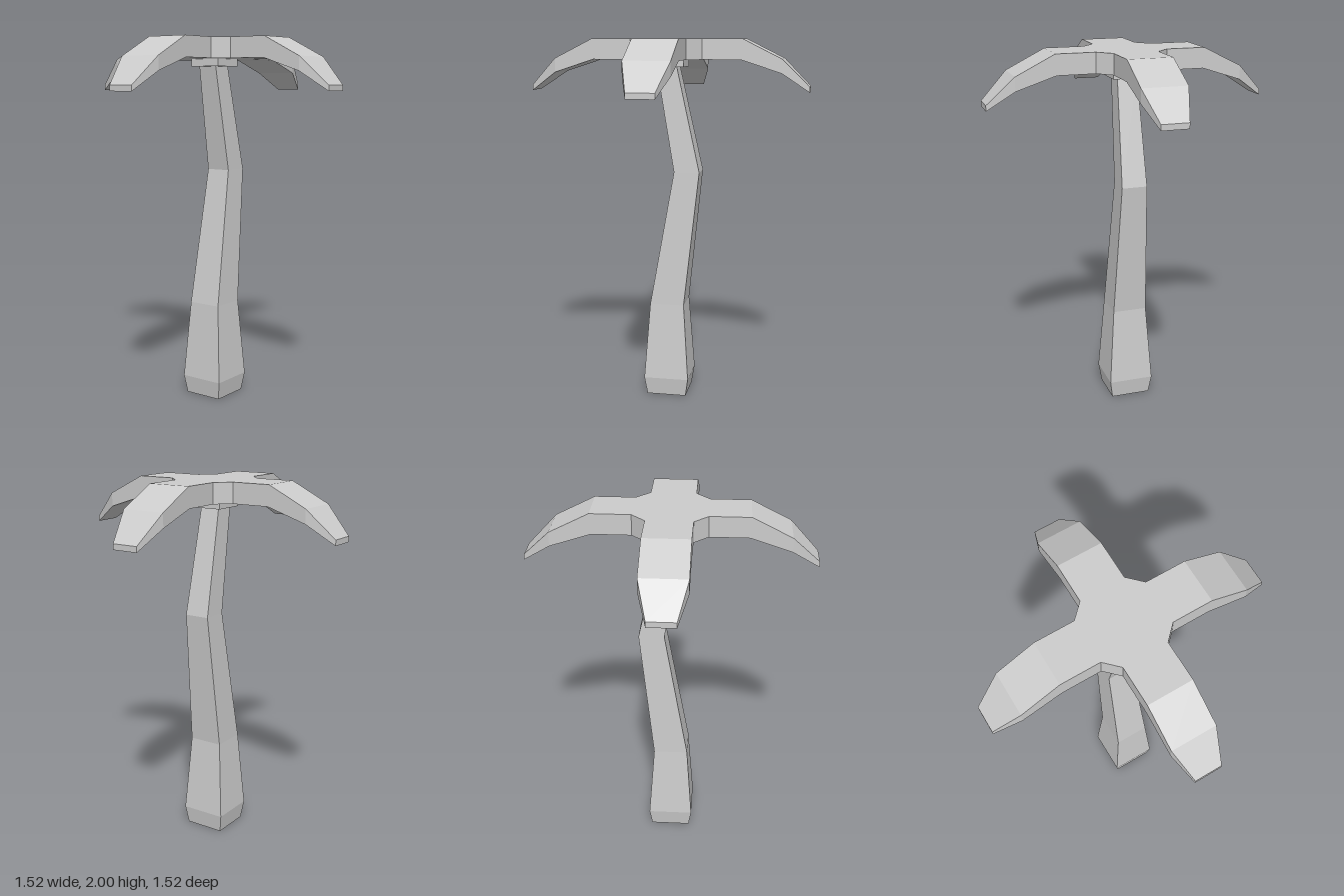
import * as THREE from 'three';

// Skins a row of four-cornered rings (counter-clockwise seen from the far end)
function loft(rings, capEnd) {
  const pos = [];
  const quad = (a, b, c, d) => pos.push(...a, ...b, ...c, ...a, ...c, ...d);
  for (let k = 0; k < rings.length - 1; k++) {
    const p = rings[k], q = rings[k + 1];
    for (let i = 0; i < 4; i++) {
      const j = (i + 1) % 4;
      quad(p[i], p[j], q[j], q[i]);
    }
  }
  if (capEnd) quad(...rings[rings.length - 1]);
  const g = new THREE.BufferGeometry();
  g.setAttribute('position', new THREE.Float32BufferAttribute(pos, 3));
  g.computeVertexNormals();
  return g;
}

export function createModel() {
  const model = new THREE.Group();
  const grey = new THREE.MeshStandardMaterial({ color: 0xcccccc, side: THREE.DoubleSide });
  grey.name = 'plainGrey';
  grey.flatShading = true;
  const add = (name, geometry) => {
    const mesh = new THREE.Mesh(geometry, grey);
    mesh.name = name;
    model.add(mesh);
    return mesh;
  };

  // Bent square trunk, open at the bottom: height, z of centre, half width
  const trunk = [
    [0, 0, 0.11], [0.1, 0, 0.125], [0.53, 0, 0.095],
    [1.28, -0.105, 0.07], [1.86, 0.01, 0.055],
  ];
  add('trunk', loft(trunk.map(([y, z, h]) =>
    [[h, y, z - h], [-h, y, z - h], [-h, y, z + h], [h, y, z + h]])));

  // Square collar under the crown
  add('collar', new THREE.BoxGeometry(0.18, 0.04, 0.18)).position.y = 1.87;

  // Eight-sided middle of the crown
  const a = 0.12, b = 0.193;
  const outline = [[b, -a], [b, a], [a, b], [-a, b], [-b, a], [-b, -a], [-a, -b], [a, -b]];
  const hub = new THREE.ExtrudeGeometry(
    new THREE.Shape(outline.map(([x, y]) => new THREE.Vector2(x, y))),
    { depth: 0.11, bevelEnabled: false });
  hub.rotateX(-Math.PI / 2);
  add('crownHub', hub).position.y = 1.89;

  // Four drooping fronds: distance out and height at top, then at bottom, half width
  const frond = [
    [b, 2, b, 1.89, a], [0.405, 2, 0.4, 1.89, a],
    [0.615, 1.895, 0.615, 1.82, a], [0.76, 1.75, 0.76, 1.72, 0.072],
  ];
  const frondGeometry = loft(frond.map(([zt, yt, zb, yb, w]) =>
    [[w, yt, zt], [-w, yt, zt], [-w, yb, zb], [w, yb, zb]]), true);
  ['frontFrond', 'leftFrond', 'backFrond', 'rightFrond'].forEach((name, i) => {
    add(name, frondGeometry).rotation.y = i * Math.PI / 2;
  });

  return model;
}
